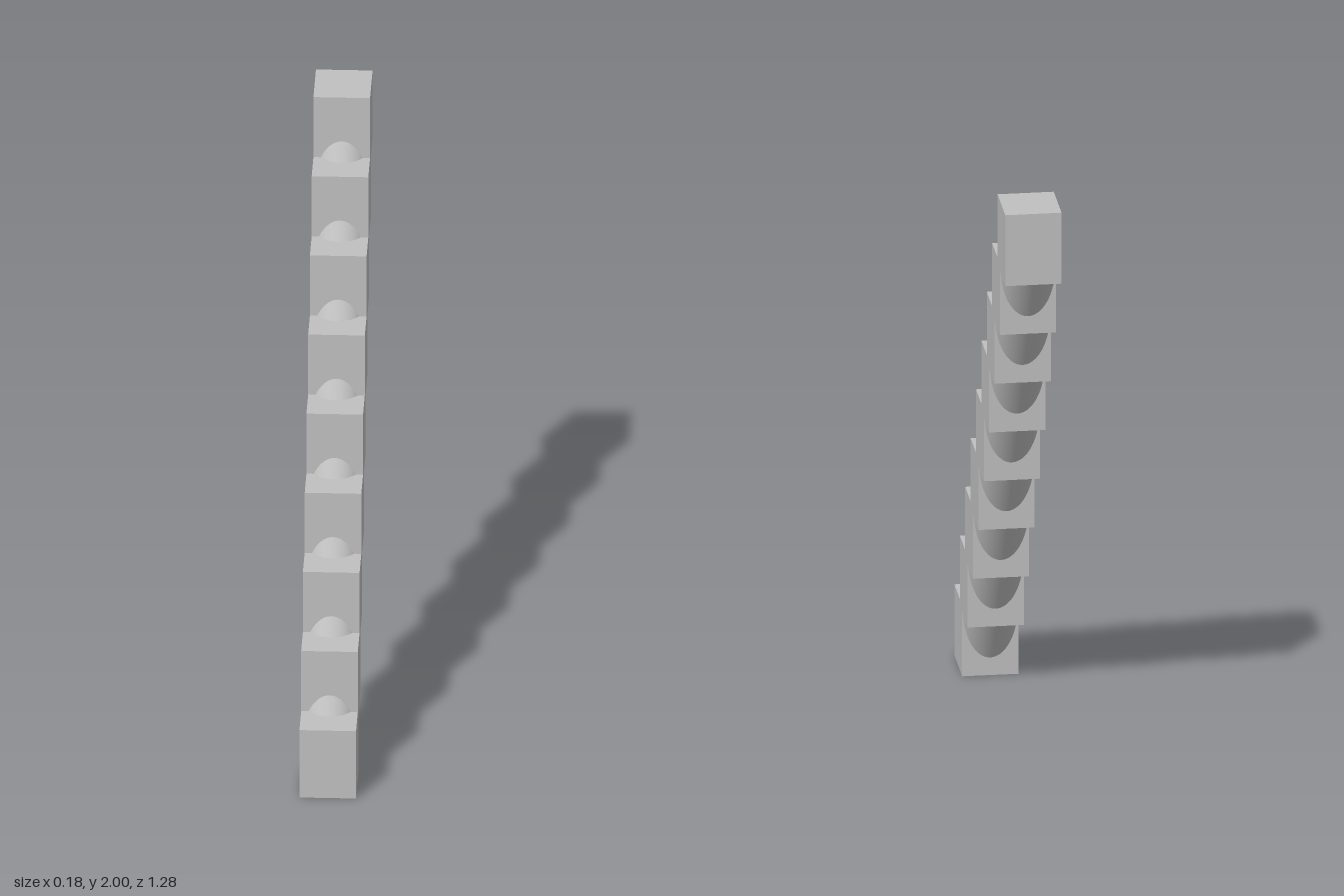
import * as THREE from 'three';

export function createModel() {
  const model = new THREE.Group();
  model.name = 'steppedBeam';
  const grey = new THREE.MeshStandardMaterial({ color: 0xc0c0c0 });
  grey.name = 'grey';

  const count = 9;
  const width = 0.184, height = 0.246, depth = 0.196;
  const rise = (2 - height) / (count - 1);
  const run = (1.278 - depth) / (count - 1);

  // Staircase of overlapping blocks, climbing towards the back
  const blockGeometry = new THREE.BoxGeometry(width, height, depth);
  for (let i = 0; i < count; i++) {
    const block = new THREE.Mesh(blockGeometry, grey);
    block.name = `stepBlock${i + 1}`;
    block.position.set(0, height / 2 + i * rise, 0.541 - i * run);
    model.add(block);
  }

  // Round bar running diagonally through the blocks, set towards the underside
  const along = new THREE.Vector3(0, rise, -run).normalize();
  const outward = new THREE.Vector3(0, -along.z, along.y);
  const length = Math.hypot(rise, run) * (count - 1);
  const bar = new THREE.Mesh(new THREE.CylinderGeometry(0.09, 0.09, length, 64), grey);
  bar.name = 'diagonalBar';
  bar.quaternion.setFromUnitVectors(new THREE.Vector3(0, 1, 0), along);
  bar.position.set(0, 1, 0).addScaledVector(outward, -0.026).addScaledVector(along, -0.03);
  model.add(bar);

  return model;
}
